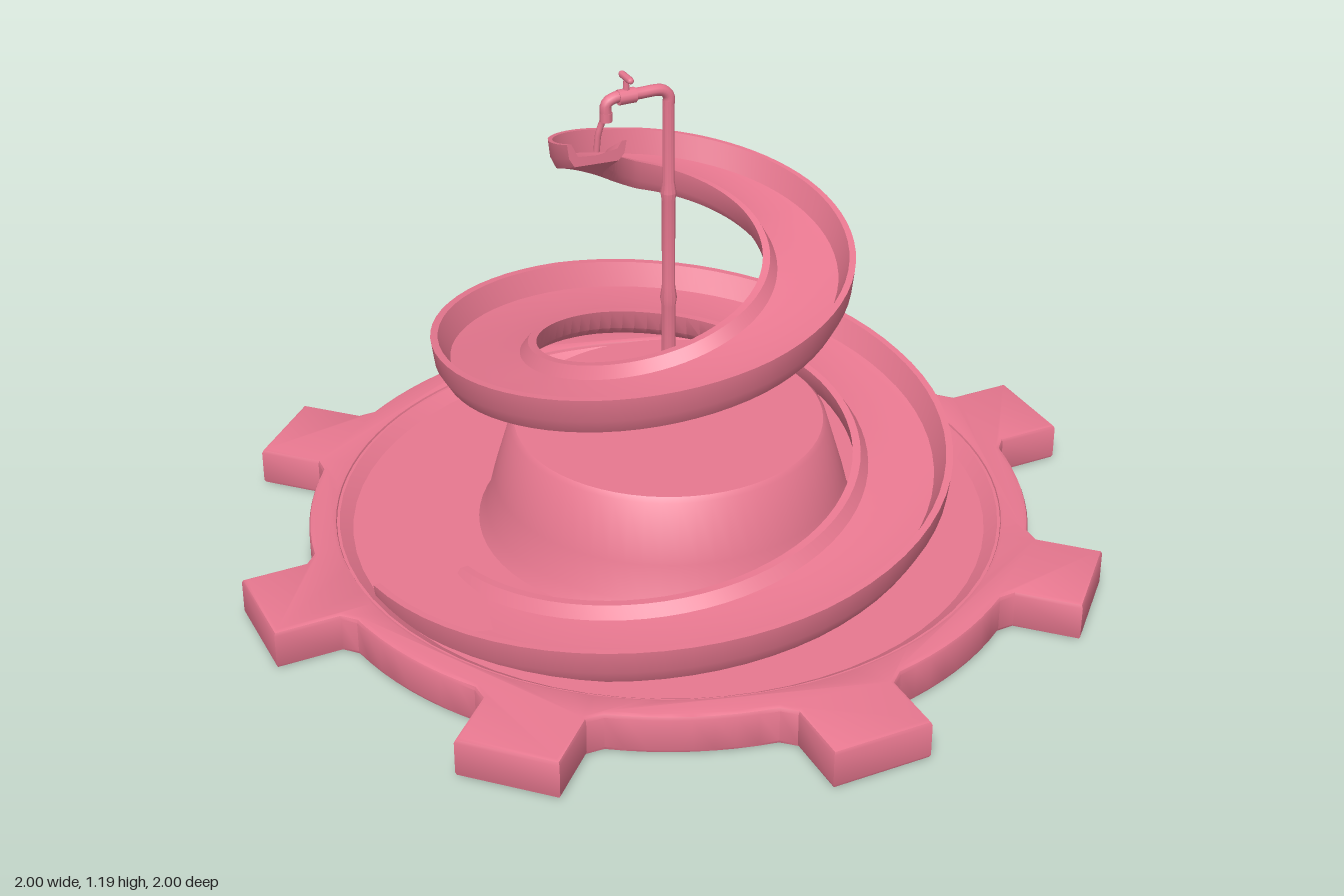
import * as THREE from 'three';
import { toCreasedNormals } from 'three/addons/utils/BufferGeometryUtils.js';

const material = new THREE.MeshStandardMaterial({ color: 0xe87890, side: THREE.DoubleSide });

function add(parent, name, geometry, x = 0, y = 0, z = 0) {
  const mesh = new THREE.Mesh(geometry, material);
  mesh.name = name;
  mesh.position.set(x, y, z);
  parent.add(mesh);
  return mesh;
}

// Linear interpolation through evenly spaced values
function sample(values, f) {
  const p = Math.min(Math.max(f, 0), 0.99999) * (values.length - 1);
  const i = Math.floor(p);
  return THREE.MathUtils.lerp(values[i], values[i + 1], p - i);
}

// Disc outline with eight square tabs, hollowed for the basin
function rimGeometry() {
  const shape = new THREE.Shape();
  const R = 0.825, half = 0.105, flare = 0.17;
  for (let k = 0; k < 8; k++) {
    const a = (k * Math.PI) / 4;
    const put = (r, s) => {
      const x = r * Math.cos(a) - s * Math.sin(a);
      const y = r * Math.sin(a) + s * Math.cos(a);
      if (k === 0 && s === -half && r < 0.9) shape.moveTo(x, y);
      else shape.lineTo(x, y);
    };
    put(0.845, -half);
    put(0.99, -half);
    put(0.99, half);
    put(0.845, half);
    for (let i = 0; i <= 8; i++) {
      const b = a + flare + ((Math.PI / 4 - 2 * flare) * i) / 8;
      shape.lineTo(R * Math.cos(b), R * Math.sin(b));
    }
  }
  shape.closePath();
  const hole = new THREE.Path();
  hole.absarc(0, 0, 0.78, 0, Math.PI * 2, true);
  shape.holes.push(hole);
  const geo = new THREE.ExtrudeGeometry(shape, {
    depth: 0.075, bevelEnabled: true, bevelThickness: 0.01, bevelSize: 0.01, bevelSegments: 2, curveSegments: 48,
  });
  geo.rotateX(-Math.PI / 2);
  return toCreasedNormals(geo, 0.6);
}

function lathe(points, segments = 64) {
  const geo = new THREE.LatheGeometry(points.map(([x, y]) => new THREE.Vector2(x, y)), segments);
  return toCreasedNormals(geo, 0.6);
}

// Trough swept down a widening two-turn spiral
function slideGeometry() {
  const outer = [0.24, 0.31, 0.38, 0.47, 0.52, 0.58, 0.63, 0.69, 0.75];
  const inner = [0.1, 0.165, 0.195, 0.235, 0.28, 0.34, 0.41, 0.45, 0.52];
  const top = [1.06, 0.93, 0.83, 0.71, 0.58, 0.465, 0.335, 0.215, 0.115];
  // u runs from inner to outer edge, v is height below the outer lip
  const section = [
    [1, 0], [0.97, -0.055], [0.88, -0.092], [0.14, -0.1], [0.04, -0.075], [0, -0.025],
    [0.08, -0.025], [0.16, -0.052], [0.5, -0.062], [0.82, -0.055], [0.93, 0],
  ];
  const steps = 144, n = section.length, turns = 1.99;
  const pos = [], index = [];
  for (let i = 0; i <= steps; i++) {
    const f = i / steps, a = f * turns * Math.PI * 2;
    const r0 = sample(inner, f), r1 = sample(outer, f), y = sample(top, f);
    const depth = Math.min(1, 0.6 + f * 3);
    for (const [u, v] of section) {
      const r = r0 + (r1 - r0) * u;
      pos.push(-Math.cos(a) * r, Math.max(y + v * depth, 0.03), -Math.sin(a) * r);
    }
  }
  for (let i = 0; i < steps; i++) {
    for (let j = 0; j < n; j++) {
      const a = i * n + j, c = i * n + ((j + 1) % n);
      index.push(a, a + n, c, a + n, c + n, c);
    }
  }
  const caps = THREE.ShapeUtils.triangulateShape(section.map(([u, v]) => new THREE.Vector2(u, v * 2)), []);
  for (const [a, b, c] of caps) {
    index.push(a, c, b);
    index.push(steps * n + a, steps * n + b, steps * n + c);
  }
  const geo = new THREE.BufferGeometry();
  geo.setAttribute('position', new THREE.Float32BufferAttribute(pos, 3));
  geo.setIndex(index);
  return toCreasedNormals(geo, 0.6);
}

function tube(points, radius, segments = 32) {
  const curve = new THREE.CatmullRomCurve3(points.map((p) => new THREE.Vector3(...p)), false, 'centripetal');
  return new THREE.TubeGeometry(curve, segments, radius, 10);
}

export function createModel() {
  const model = new THREE.Group();
  model.name = 'spiralWaterSlide';

  // Base: toothed rim, shallow basin and closed underside
  const base = new THREE.Group();
  base.name = 'base';
  model.add(base);
  add(base, 'toothedRim', rimGeometry(), 0, 0.022, 0);
  add(base, 'basin', lathe([[0, 0.012], [0.785, 0.012], [0.785, 0.1], [0.765, 0.1], [0.735, 0.078], [0, 0.078]]));

  // Central mound
  add(model, 'mound', lathe([[0.445, 0.075], [0.425, 0.11], [0.405, 0.19], [0.365, 0.325], [0.355, 0.335], [0, 0.335]]));

  // Spiral trough
  add(model, 'spiralSlide', slideGeometry());

  // Standpipe with tap
  const tap = new THREE.Group();
  tap.name = 'tap';
  model.add(tap);
  add(tap, 'standpipe', lathe([[0.02, 0.33], [0.02, 0.36], [0.016, 0.37], [0.016, 0.62], [0.019, 0.64],
    [0.015, 0.67], [0.015, 0.88], [0.018, 0.9], [0.013, 0.93], [0.013, 1.12]], 12));
  add(tap, 'spout', tube([[0, 1.1, 0], [0, 1.13, 0], [-0.015, 1.145, 0], [-0.07, 1.148, 0],
    [-0.13, 1.148, 0], [-0.147, 1.138, 0], [-0.148, 1.105, 0]], 0.013));
  add(tap, 'spoutEnd', new THREE.CylinderGeometry(0.014, 0.014, 0.02, 10), -0.148, 1.108, 0);
  add(tap, 'valveCollar', new THREE.CylinderGeometry(0.017, 0.017, 0.04, 12), -0.1, 1.147, 0).rotation.z = Math.PI / 2;
  add(tap, 'valveStem', new THREE.CylinderGeometry(0.006, 0.008, 0.045, 8), -0.1, 1.172, 0);
  add(tap, 'valveHandle', new THREE.CapsuleGeometry(0.008, 0.042, 4, 8), -0.1, 1.19, 0).rotation.x = Math.PI / 2;

  // Thin stream of water landing in the trough
  add(model, 'waterStream', tube([[-0.148, 1.11, 0], [-0.148, 1.095, -0.015], [-0.157, 1.06, -0.022], [-0.16, 1.02, -0.025]], 0.007, 12));

  return model;
}
